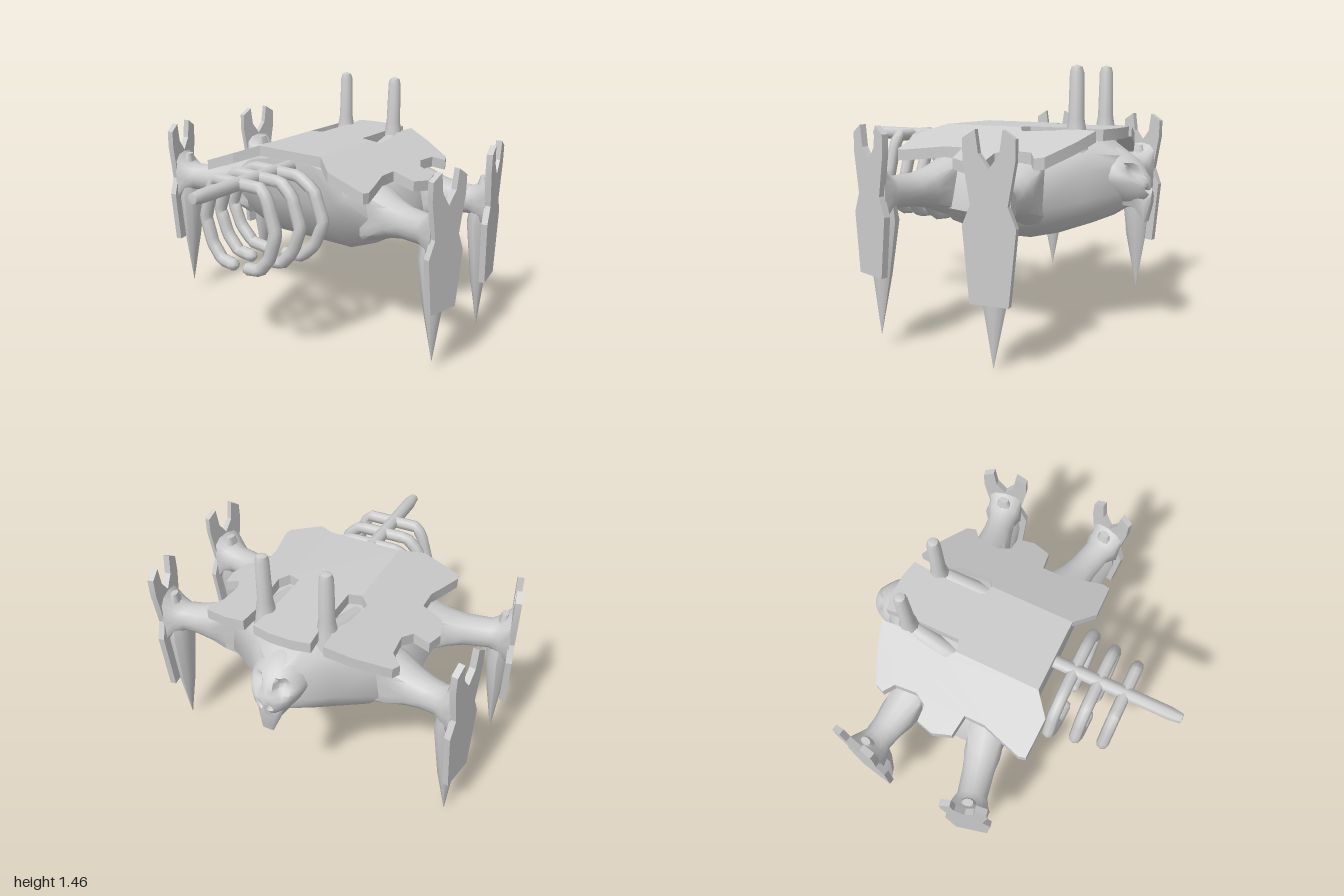
import * as THREE from 'three';
import { toCreasedNormals } from 'three/addons/utils/BufferGeometryUtils.js';

const material = new THREE.MeshStandardMaterial({ color: 0xcccccc });
const V = (x, y, z) => new THREE.Vector3(x, y, z);

function part(parent, name, geometry, crease = 0.9) {
  const mesh = new THREE.Mesh(toCreasedNormals(geometry, crease), material);
  mesh.name = name;
  parent.add(mesh);
}

function lathe(profile, sides) {
  return new THREE.LatheGeometry(profile.map(([r, y]) => new THREE.Vector2(r, y)), sides);
}

function shapeOf(points) {
  return new THREE.Shape(points.map(([x, y]) => new THREE.Vector2(x, y)));
}

// Moves every vertex by a rule
function reshape(g, rule) {
  const p = g.attributes.position, v = V(0, 0, 0);
  for (let i = 0; i < p.count; i++) {
    rule(v.fromBufferAttribute(p, i));
    p.setXYZ(i, v.x, v.y, v.z);
  }
  return g;
}

// Closed skin through rings of equal length, running towards -z
function loft(rings) {
  const n = rings[0].length, index = [];
  for (let i = 0; i < rings.length - 1; i++) {
    for (let j = 0; j < n; j++) {
      const a = i * n + j, b = i * n + (j + 1) % n;
      index.push(a, b, a + n, b, b + n, a + n);
    }
  }
  const last = (rings.length - 1) * n;
  for (let j = 1; j < n - 1; j++) {
    index.push(0, j + 1, j, last, last + j, last + j + 1);
  }
  const g = new THREE.BufferGeometry();
  g.setAttribute('position', new THREE.Float32BufferAttribute(rings.flat(2), 3));
  g.setIndex(index);
  return g;
}

// Rounded belly, flat beneath and narrowing to the neck
function addBody(root) {
  const sections = [ // z, half width, bottom, top
    [0.2, 0.36, 0.84, 1.06], [0.12, 0.47, 0.68, 1.06], [0, 0.54, 0.55, 1.06],
    [-0.2, 0.54, 0.53, 1.06], [-0.4, 0.54, 0.535, 1.06], [-0.55, 0.46, 0.57, 1.06],
    [-0.7, 0.25, 0.625, 1.05], [-0.84, 0.11, 0.71, 0.98],
  ];
  const rings = sections.map(([z, w, lo, hi]) => {
    const h = hi - lo;
    const half = [[0.42, 1], [0.78, 0.88], [0.95, 0.7], [1.03, 0.3], [0.85, 0.13], [0.54, 0]];
    const right = half.map(([x, y]) => [x * w, lo + y * h, z]);
    const left = right.map(([x, y]) => [-x, y, z]).reverse();
    return [...right, ...left];
  });
  part(root, 'body', loft(rings), 1);
}

// Flat plate in x and z that slopes down away from the middle
function plate(outline) {
  const g = new THREE.ExtrudeGeometry(shapeOf(outline), { depth: 0.06, bevelEnabled: false });
  g.rotateX(Math.PI / 2).translate(0, 1.125, 0);
  return reshape(g, (v) => { v.y -= Math.max(0, Math.abs(v.x) - 0.22) * 0.36; });
}

function addShell(root) {
  const shell = new THREE.Group();
  shell.name = 'shell';
  root.add(shell);
  const middle = [[0.22, 0.21], [0.22, -0.29], [0.15, -0.31], [0.15, -0.6], [0.165, -0.76], [0.06, -0.78]];
  part(shell, 'shellMiddle', plate([...middle, ...middle.map(([x, z]) => [-x, z]).reverse()]), 0.4);
  const side = [
    [0.22, 0.21], [0.34, 0.31], [0.56, 0.3], [0.57, 0.26], [0.53, 0.12], [0.5, 0.02],
    [0.5, -0.1], [0.62, -0.12], [0.655, -0.23], [0.63, -0.33], [0.54, -0.33], [0.5, -0.4],
    [0.51, -0.53], [0.57, -0.58], [0.55, -0.63], [0.37, -0.71], [0.23, -0.75],
    [0.22, -0.6], [0.25, -0.5], [0.27, -0.33], [0.22, -0.29],
  ];
  for (const s of [1, -1]) part(shell, 'shellSide', plate(side.map(([x, z]) => [s * x, z])), 0.4);
}

// Upright horns with a ridge running forward along each slot
function addHorns(root) {
  for (const s of [1, -1]) {
    const horn = lathe([[0.075, 1], [0.055, 1.11], [0.043, 1.18], [0.038, 1.42], [0.028, 1.45], [0, 1.46]], 10);
    part(root, 'horn', horn.translate(s * 0.18, 0, -0.61));
    const path = new THREE.LineCurve3(V(s * 0.18, 1.06, -0.63), V(s * 0.21, 1.0, -0.3));
    part(root, 'hornRidge', new THREE.TubeGeometry(path, 1, 0.06, 10));
  }
}

// Skull with sunken eyes and a beak pointing down
function addHead(root) {
  const sockets = [[0.45, 0.2, 0.28], [-0.45, 0.2, 0.28], [0.12, -0.35, 0.12], [-0.12, -0.35, 0.12]];
  const skull = reshape(new THREE.SphereGeometry(1, 32, 24), (v) => {
    let k = 1;
    if (v.z < 0) {
      for (const [x, y, r] of sockets) {
        const d = Math.hypot(v.x - x, v.y - y) / r;
        if (d < 1) k = Math.min(k, 1 - 0.3 * (1 - d * d));
      }
    }
    // The lower face narrows, and the brow leans back
    const narrow = 1 - 0.3 * Math.max(0, -v.y);
    v.set(v.x * k * 0.158 * narrow, 0.865 + v.y * 0.165, -0.765 + v.z * k * 0.19 + 0.07 * v.y);
  });
  part(root, 'head', skull, 1);
  const ring = (z, y, w, h) => [[0, y + h, z], [w, y, z], [w * 0.7, y - h, z], [-w * 0.7, y - h, z], [-w, y, z]];
  part(root, 'beak', loft([
    ring(-0.8, 0.82, 0.12, 0.09), ring(-0.9, 0.79, 0.085, 0.08),
    ring(-0.945, 0.73, 0.045, 0.1), ring(-0.975, 0.77, 0.02, 0.04),
  ]));
}

// Spine rod carrying three pairs of curled ribs
function addRibcage(root) {
  const spine = lathe([[0, 0.15], [0.04, 0.15], [0.04, 0.9], [0.03, 0.97], [0, 0.975]], 8);
  part(root, 'spine', spine.rotateX(Math.PI / 2).translate(0, 1.035, 0));
  for (const [z, w] of [[0.33, 0.33], [0.48, 0.29], [0.635, 0.25]]) {
    for (const s of [1, -1]) {
      const path = new THREE.CurvePath();
      const pts = [[0, 1.035], [0.16, 1.035], [w * 0.8, 0.97], [w, 0.8], [w * 0.82, 0.66], [w * 0.55, 0.575], [w * 0.15 + 0.02, 0.565]]
        .map(([x, y]) => V(s * x, y, z));
      for (let i = 1; i < pts.length; i++) path.add(new THREE.LineCurve3(pts[i - 1], pts[i]));
      part(root, 'rib', new THREE.TubeGeometry(path, 24, 0.036, 8));
      const tip = new THREE.SphereGeometry(0.036, 8, 6);
      part(root, 'ribTip', tip.translate(...pts[pts.length - 1].toArray()));
    }
  }
}

// Leg: arm flared at both ends, forked outer blade and a pointed spike behind it
function makeLeg(name, reach, tipY, bladeWidth) {
  const leg = new THREE.Group();
  leg.name = name;
  const arm = lathe([
    [0, 0], [0.18, 0], [0.15, 0.08], [0.11, 0.18], [0.09, 0.27],
    [0.085, reach - 0.1], [0.11, reach - 0.05], [0.17, reach + 0.01], [0, reach + 0.01],
  ], 16);
  arm.rotateZ(-Math.PI / 2).translate(0, 0.81, 0);
  reshape(arm, (v) => { v.z = THREE.MathUtils.clamp(v.z, -0.1, 0.1); });
  part(leg, 'arm', arm);

  const half = [[0.05, 1.05], [0.065, 1.16], [0.125, 1.12], [0.125, 1.02], [0.09, 0.81], [0.13, 0.71], [0.095, tipY + 0.33], [0.05, tipY + 0.33]]
    .map(([x, y]) => [x * bladeWidth, y]);
  const outline = [[0, 0.98], ...half, ...half.map(([x, y]) => [-x, y]).reverse()];
  const blade = new THREE.ExtrudeGeometry(shapeOf(outline), { depth: 0.035, bevelEnabled: false });
  part(leg, 'blade', blade.rotateY(Math.PI / 2).translate(reach + 0.003, 0, 0), 0.3);

  // The spike leans outward away from its widest point
  const spike = lathe([[0, tipY], [0.065, tipY + 0.33], [0.105, 0.68], [0.085, 0.8], [0.03, 0.96], [0, 0.96]], 10);
  spike.scale(0.65, 1, 1);
  reshape(spike, (v) => { v.x += reach - 0.045 + Math.abs(v.y - 0.68) * 0.04; });
  part(leg, 'spike', spike);
  return leg;
}

function addLegs(root) {
  const legs = [ // name, hip z, turn, reach, tip height, blade width
    ['frontLeg', 0.01, -0.24, 0.51, 0.065, 1],
    ['rearLeg', -0.46, 0.18, 0.45, 0.005, 1.05],
  ];
  for (const [name, z, turn, reach, tipY, width] of legs) {
    for (const s of [1, -1]) {
      const leg = makeLeg(name, reach, tipY, width);
      leg.position.set(s * 0.44, 0, z);
      leg.rotation.y = s > 0 ? turn : Math.PI - turn;
      root.add(leg);
    }
  }
}

export function createModel() {
  const root = new THREE.Group();
  root.name = 'crabWalker';
  addBody(root);
  addShell(root);
  addHorns(root);
  addHead(root);
  addRibcage(root);
  addLegs(root);
  return root;
}
